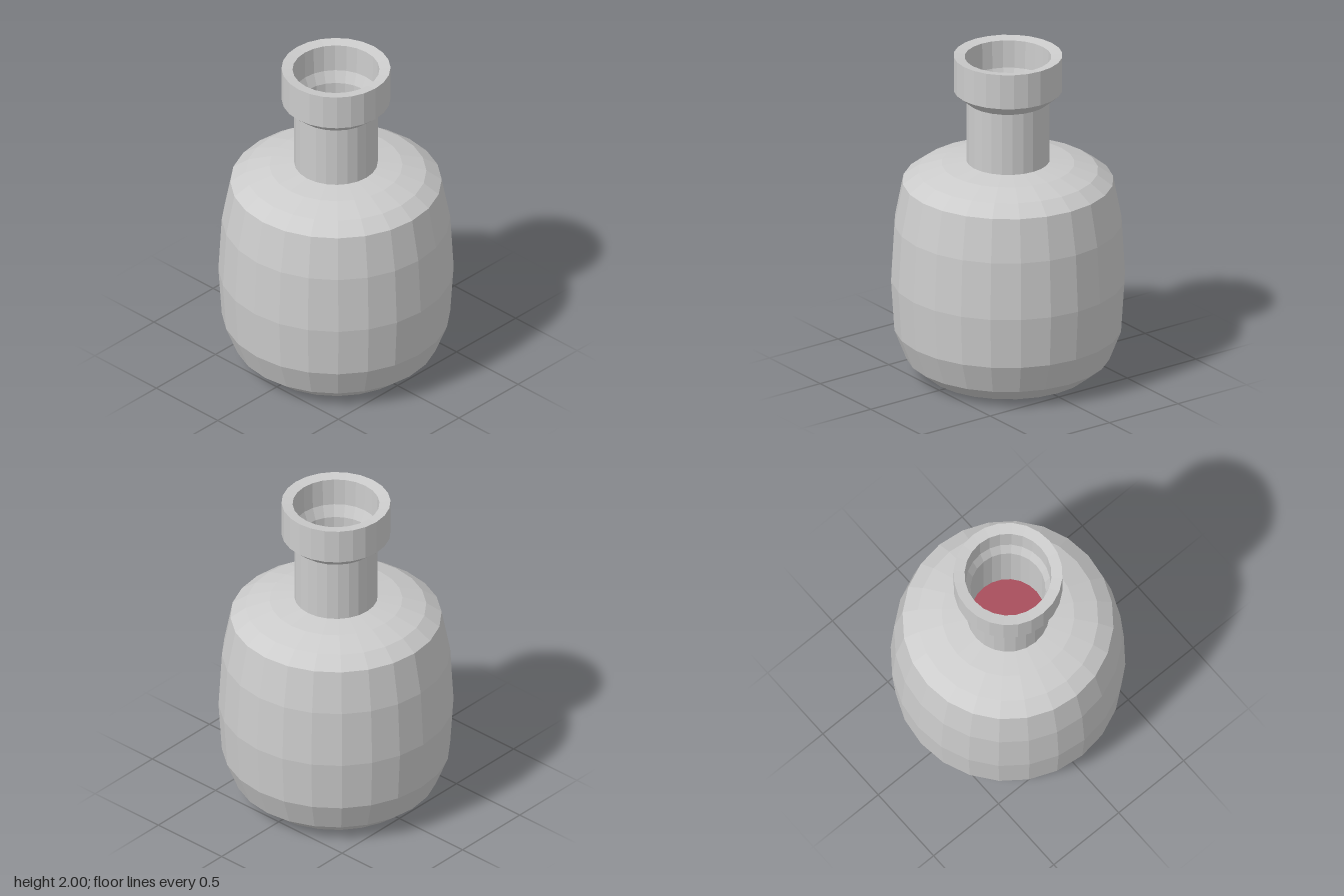
import * as THREE from 'three';

const SIDES = 24;

function lathe(name, profile, color = 0xcccccc) {
  const points = profile.map(([r, y]) => new THREE.Vector2(r, y));
  const mesh = new THREE.Mesh(
    new THREE.LatheGeometry(points, SIDES),
    new THREE.MeshStandardMaterial({ color, flatShading: true })
  );
  mesh.name = name;
  return mesh;
}

export function createModel() {
  const group = new THREE.Group();
  group.name = 'bottle';

  // Rounded body with its base and shoulder
  const body = [
    [0, 0], [0.35, 0.003], [0.49, 0.02], [0.6, 0.11], [0.67, 0.29], [0.69, 0.6],
    [0.67, 0.95], [0.62, 1.21], [0.53, 1.275], [0.39, 1.32], [0.245, 1.34],
  ];
  // Neck, flared collar and the mouth down to the throat
  const neck = [
    [0.245, 1.34], [0.245, 1.72], [0.32, 1.785], [0.32, 2], [0.255, 1.99],
    [0.25, 1.82], [0.22, 1.75], [0.22, 1.31],
  ];
  // Hollow inside of the body, from the throat down to the floor
  const inside = [
    [0.22, 1.31], [0.38, 1.29], [0.51, 1.25], [0.59, 1.19], [0.64, 0.95],
    [0.66, 0.6], [0.64, 0.3], [0.57, 0.13], [0.47, 0.05], [0, 0.03],
  ];
  // Liquid filling the lower part of the hollow
  const liquid = [
    [0, 0.04], [0.46, 0.06], [0.56, 0.14], [0.63, 0.3], [0.65, 0.6], [0.63, 0.95], [0, 0.95],
  ];

  group.add(
    lathe('body', body),
    lathe('neck', neck),
    lathe('innerWall', inside),
    lathe('liquid', liquid, 0xa84f5c)
  );
  return group;
}
